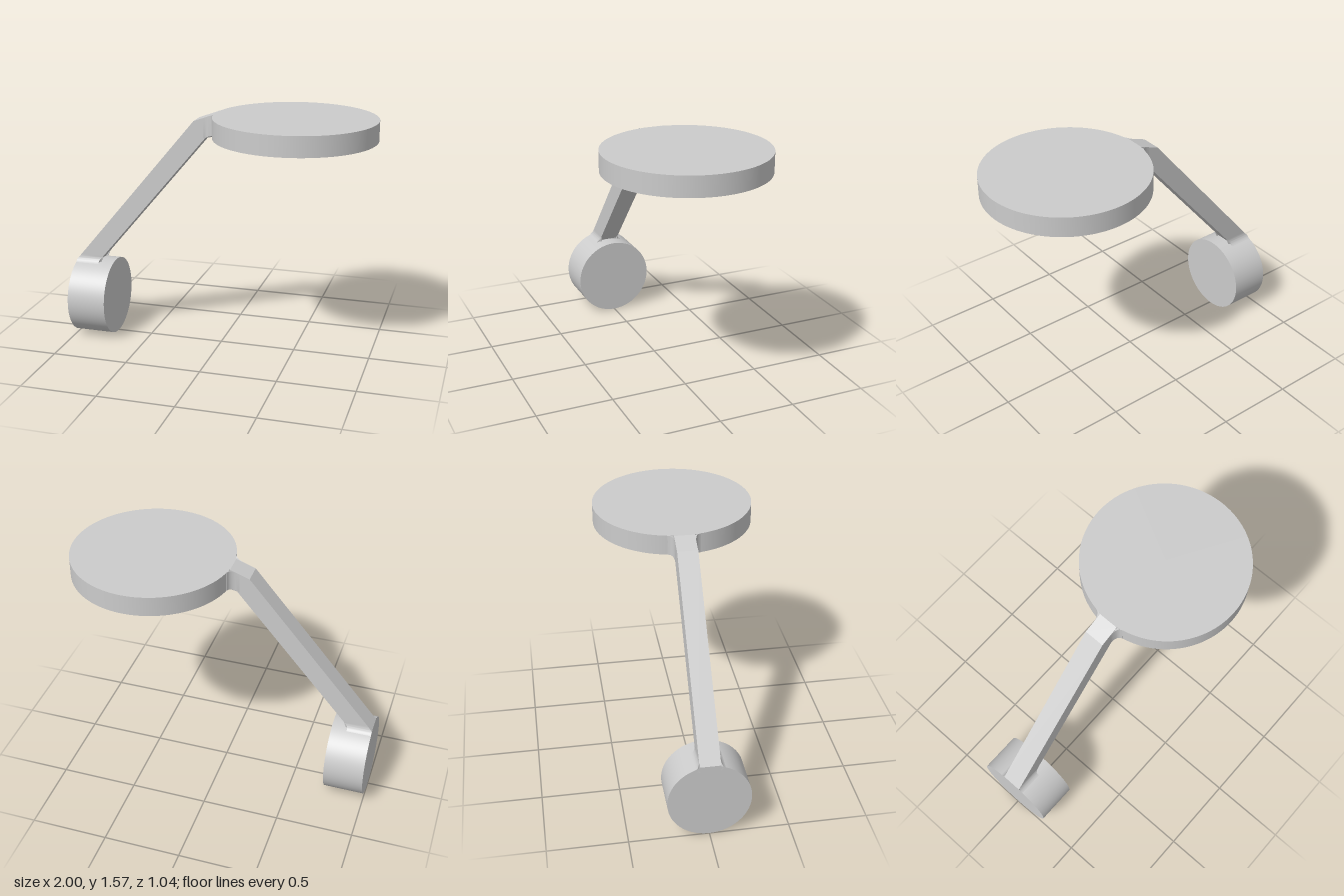
import * as THREE from 'three';
import { toCreasedNormals } from 'three/addons/utils/BufferGeometryUtils.js';

const material = new THREE.MeshStandardMaterial({ color: 0xcccccc });
const HALF = 0.065; // half thickness of the arm and of the top disc

function add(group, name, geometry) {
  const mesh = new THREE.Mesh(geometry, material);
  mesh.name = name;
  group.add(mesh);
  return mesh;
}

function extrude(shape, depth) {
  return new THREE.ExtrudeGeometry(shape, { depth, bevelEnabled: false, curveSegments: 10 });
}

// Move every vertex by a rule
function deform(geometry, rule) {
  const p = geometry.attributes.position;
  const v = new THREE.Vector3();
  for (let i = 0; i < p.count; i++) {
    rule(v.fromBufferAttribute(p, i));
    p.setXYZ(i, v.x, v.y, v.z);
  }
  return toCreasedNormals(geometry, 0.6);
}

export function createModel() {
  const group = new THREE.Group();
  group.name = 'bentArmWithDiscs';

  // Large horizontal disc
  add(group, 'topDisc', new THREE.CylinderGeometry(0.52, 0.52, 2 * HALF, 128)).position.set(0.48, 1.5, 0);

  // Short upright cylinder lying along x
  const base = add(group, 'baseCylinder', new THREE.CylinderGeometry(0.26, 0.26, 0.26, 96));
  base.rotation.z = Math.PI / 2;
  base.position.set(-0.87, 0.26, 0);

  // Slanted arm, bent level where it meets the disc
  const profile = new THREE.Shape([
    [-1, 0.4], [-0.84, 0.4], [-0.84, 0.52], [-0.085, 1.418], [-0.04, 1.435],
    [0.02, 1.435], [0.02, 1.565], [-0.04, 1.565], [-0.165, 1.52], [-1, 0.52],
  ].map(([x, y]) => new THREE.Vector2(x, y)));
  add(group, 'arm', extrude(profile, 2 * HALF).translate(0, 0, -HALF));

  for (const s of [1, -1]) {
    const side = s > 0 ? 'Front' : 'Back';

    // Fillet blending the arm into the disc, following the bend
    const upper = new THREE.Shape();
    upper.moveTo(-0.1, s * 0.06);
    upper.lineTo(-0.1, s * HALF);
    upper.quadraticCurveTo(-0.04, s * HALF, -0.03, s * 0.105);
    upper.lineTo(0.02, s * 0.105);
    upper.lineTo(0.02, s * 0.06);
    const upperGeometry = extrude(upper, 2 * HALF).rotateX(-Math.PI / 2).translate(0, 1.435, 0);
    add(group, 'discFillet' + side, deform(upperGeometry, (v) => {
      v.y += Math.min(0, v.x + 0.04) * 0.36;
    }));

    // Fillet blending the arm into the base cylinder, sheared along the arm
    const lower = new THREE.Shape();
    lower.moveTo(s * 0.06, 0.555);
    lower.lineTo(s * HALF, 0.555);
    lower.quadraticCurveTo(s * HALF, 0.515, s * 0.1, 0.499);
    lower.lineTo(s * 0.06, 0.48);
    const lowerGeometry = extrude(lower, 0.16).rotateY(Math.PI / 2).translate(-1, 0, 0);
    add(group, 'baseFillet' + side, deform(lowerGeometry, (v) => {
      v.x += Math.max(0, v.y - 0.52) * 0.835;
    }));
  }
  return group;
}
